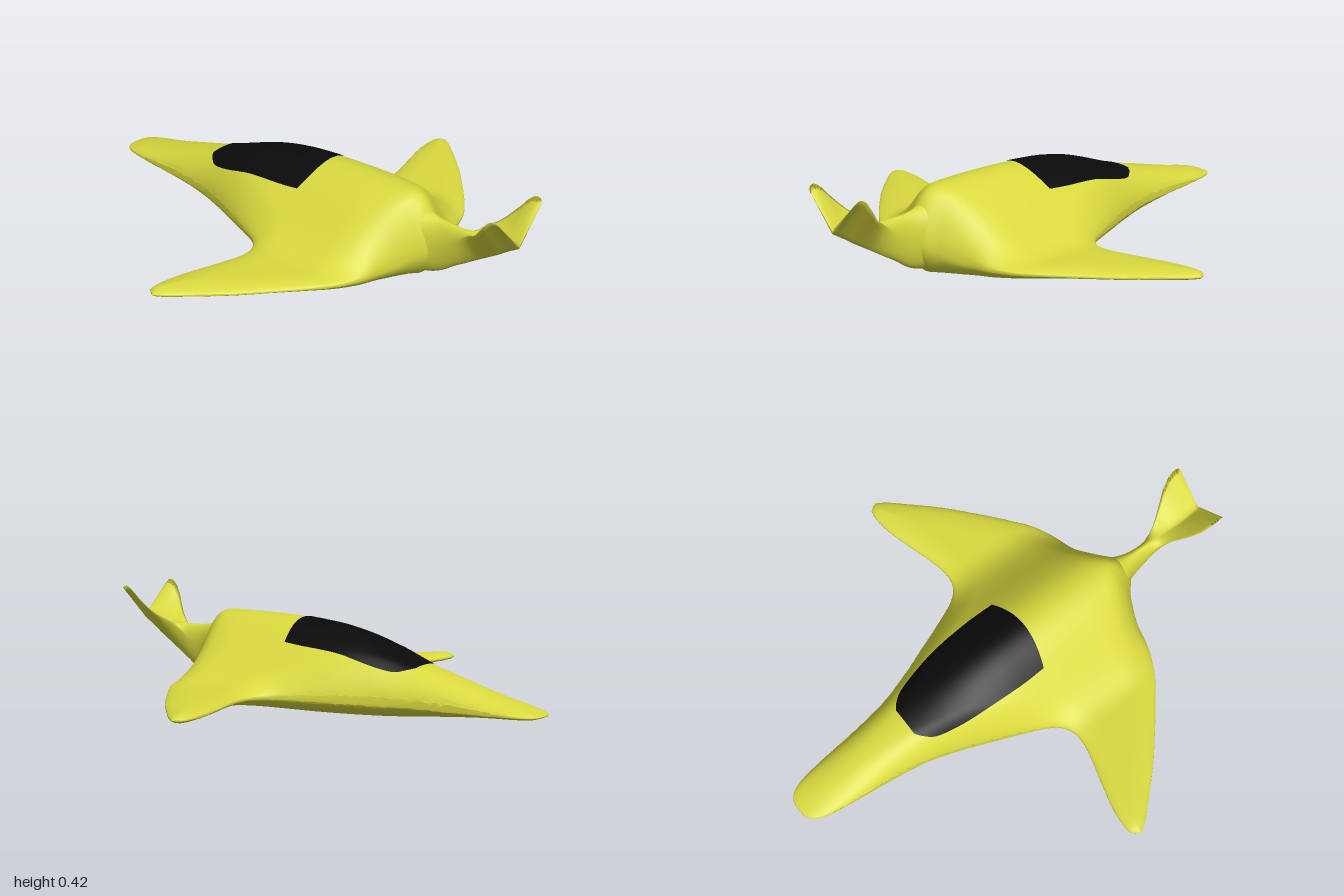
import * as THREE from 'three';

const spline = (pts, n = 400) =>
  new THREE.SplineCurve(pts.map(([a, b]) => new THREE.Vector2(a, b))).getPoints(n);

// Smooth lookup y(x) through a few control points
function profile(pts) {
  const s = spline(pts);
  return (x) => {
    if (x <= s[0].x) return s[0].y;
    for (let i = 1; i < s.length; i++) {
      if (x <= s[i].x) {
        const k = (x - s[i - 1].x) / (s[i].x - s[i - 1].x || 1);
        return s[i - 1].y + k * (s[i].y - s[i - 1].y);
      }
    }
    return s[s.length - 1].y;
  };
}

// Skin a list of equal-length point rows
function loft(rows, closed) {
  const m = rows[0].length, index = [];
  for (let i = 0; i < rows.length - 1; i++) {
    for (let j = 0; j < (closed ? m : m - 1); j++) {
      const k = (j + 1) % m;
      const a = i * m + j, b = i * m + k, c = (i + 1) * m + j, d = (i + 1) * m + k;
      index.push(a, b, c, b, d, c);
    }
  }
  const g = new THREE.BufferGeometry();
  g.setAttribute('position', new THREE.Float32BufferAttribute(rows.flat(2), 3));
  g.setIndex(index);
  g.computeVertexNormals();
  return g;
}

// Planform: leading and trailing edges of one half, as (x, z)
const lead = [[0, -1], [0.04, -0.995], [0.07, -0.97], [0.092, -0.91], [0.105, -0.82],
  [0.125, -0.63], [0.15, -0.48], [0.19, -0.35], [0.25, -0.2], [0.3, -0.08], [0.34, 0],
  [0.39, 0.045], [0.46, 0.055], [0.55, 0.035], [0.65, 0.005], [0.75, -0.02],
  [0.82, -0.028], [0.865, -0.022], [0.885, 0.01]];
const trail = [[0, 0.64], [0.05, 0.625], [0.1, 0.585], [0.2, 0.54], [0.3, 0.515], [0.4, 0.47],
  [0.5, 0.395], [0.6, 0.31], [0.7, 0.22], [0.8, 0.115], [0.86, 0.05], [0.885, 0.01]];
const outline = [...spline(lead), ...spline(trail)];
const zTrail = profile(trail);

// Side profile of the fuselage
const spineTop = profile([[-1, 0.09], [-0.9, 0.112], [-0.8, 0.133], [-0.6, 0.182], [-0.45, 0.218],
  [-0.3, 0.27], [-0.2, 0.302], [-0.1, 0.323], [0, 0.335], [0.2, 0.345], [0.48, 0.342],
  [0.55, 0.33], [0.6, 0.3], [0.64, 0.27]]);
const keel = profile([[-1, 0.065], [-0.8, 0.055], [-0.6, 0.035], [-0.4, 0.015], [-0.2, 0.005],
  [0, 0], [0.3, 0], [0.55, 0.002], [0.6, 0.012], [0.64, 0.03]]);

// Upper and lower heights of the blended body at (x, z)
function surface(x, z, onEdge = false) {
  const ax = Math.abs(x);
  let d2 = 1;
  for (const p of outline) d2 = Math.min(d2, (p.x - ax) ** 2 + (p.y - z) ** 2);
  const near = 1 - Math.min(Math.sqrt(d2) / 0.1, 1);
  const round = onEdge ? 0 : Math.sqrt(1 - near * near);
  const rear = THREE.MathUtils.smoothstep(z, 0.35, 0.62);
  const edge = 0.08 + 0.06 * rear * Math.exp(-((ax / 0.13) ** 2));
  const hump = 0.5 + 0.5 * Math.cos(Math.PI * Math.min(ax / (0.43 - 0.1 * rear), 1));
  const base = Math.min(0.105, spineTop(z));
  const top = base + (spineTop(z) - base) * hump;
  const k = keel(z);
  const low = k + (0.06 - k) * THREE.MathUtils.smoothstep(ax, 0, 0.6);
  return [edge + (top - edge) * round, edge + (low - edge) * round];
}

function bodyGeometry() {
  const n = 46;
  const half = new THREE.SplineCurve(lead.map(([x, z]) => new THREE.Vector2(x, z))).getSpacedPoints(90);
  const columns = [...half.slice(1).reverse().map((p) => [-p.x, p.y]), ...half.map((p) => [p.x, p.y])];
  return loft(columns.map(([x, z0]) => {
    const z1 = Math.max(z0, zTrail(Math.abs(x))), upper = [], lower = [];
    for (let j = 0; j <= n; j++) {
      const z = z0 + (z1 - z0) * (0.5 - 0.5 * Math.cos((Math.PI * j) / n));
      const [hi, lo] = surface(x, z, j === 0 || j === n);
      upper.push([x, hi, z]);
      if (j > 0 && j < n) lower.unshift([x, lo, z]);
    }
    return [...upper, ...lower];
  }), true);
}

function canopyGeometry() {
  const width = profile([[-0.475, 0.06], [-0.455, 0.085], [-0.4, 0.122], [-0.25, 0.155],
    [-0.05, 0.17], [0.08, 0.168]]);
  const rows = [];
  for (let i = 0; i <= 28; i++) {
    const u = i / 14 - 1, row = [];
    for (let j = 0; j <= 36; j++) {
      const t = j / 36, zb = -0.475 + 0.555 * t;
      const x = u * width(zb), z = zb + 0.03 * t ** 4 * (1 - u * u);
      row.push([x, surface(x, z)[0] + 0.004, z]);
    }
    rows.push(row);
  }
  return loft(rows, false);
}

// Stalk that opens into a V-shaped tail
function tailGeometry() {
  // z: [tip x, tip y, keel y, valley y, fin amount]
  const stations = [
    [0.55, 0.09, 0.18, 0.02, 0.29, 0], [0.61, 0.055, 0.17, 0.03, 0.272, 0],
    [0.66, 0.036, 0.17, 0.05, 0.262, 0], [0.72, 0.029, 0.19, 0.09, 0.259, 0.1],
    [0.77, 0.033, 0.235, 0.12, 0.258, 0.4], [0.81, 0.05, 0.268, 0.145, 0.253, 0.7],
    [0.86, 0.085, 0.3, 0.175, 0.248, 0.9], [0.91, 0.121, 0.355, 0.205, 0.25, 1],
    [0.95, 0.136, 0.402, 0.232, 0.258, 1], [0.98, 0.138, 0.415, 0.25, 0.268, 1],
    [1, 0.134, 0.402, 0.262, 0.276, 1]];
  const cols = [1, 2, 3, 4, 5].map((c) => profile(stations.map((s) => [s[0], s[c]])));
  const mix = THREE.MathUtils.lerp, rows = [];
  const ring = (half, z) => [
    ...half.map(([x, y]) => [x, y, z]),
    ...half.slice(1, -1).reverse().map(([x, y]) => [-x, y, z])];
  let half;
  for (let i = 0; i <= 40; i++) {
    const z = 0.55 + (0.45 * i) / 40;
    const [tx, ty, k, v, f] = cols.map((c) => c(z));
    half = [];
    const arc = (y0, a) => [
      mix(tx * Math.sin(a), tx * a / (Math.PI / 2), f),
      mix(ty + (y0 - ty) * Math.cos(a), y0 + (ty - y0) * (a / (Math.PI / 2)), f)];
    for (let j = 0; j <= 8; j++) half.push(arc(k, (j * Math.PI) / 16));
    for (let j = 7; j >= 0; j--) half.push(arc(v, (j * Math.PI) / 16));
    rows.push(ring(half, z));
  }
  // Close the thin trailing edge
  const m = half.length;
  rows.push(ring(half.map((p, j) => {
    const q = half[m - 1 - j];
    return [(p[0] + q[0]) / 2, (p[1] + q[1]) / 2];
  }), 1));
  return loft(rows, true);
}

export function createModel() {
  const yellow = new THREE.MeshStandardMaterial({ color: 0xd9d93f });
  const black = new THREE.MeshStandardMaterial({ color: 0x0a0a0a });
  const group = new THREE.Group();
  const add = (name, geometry, material) => {
    const mesh = new THREE.Mesh(geometry, material);
    mesh.name = name;
    group.add(mesh);
  };
  add('bodyAndWings', bodyGeometry(), yellow);
  add('canopy', canopyGeometry(), black);
  add('vTail', tailGeometry(), yellow);
  return group;
}
